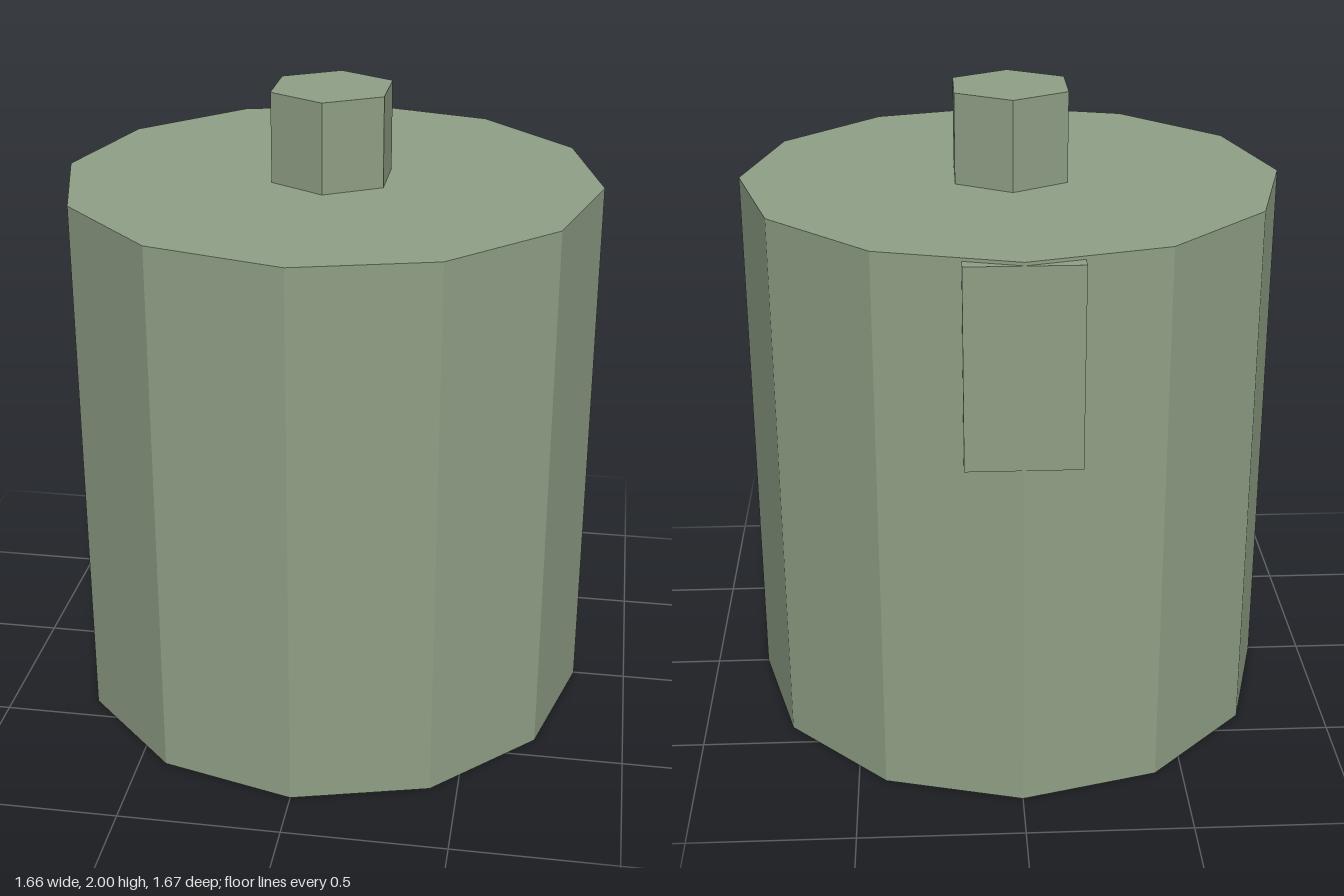
import * as THREE from 'three';

const BODY_RADIUS = 0.832, BODY_HEIGHT = 1.72;

export function createModel() {
  const model = new THREE.Group();
  model.name = 'canister';

  const sageGreen = new THREE.MeshStandardMaterial({ color: 0x8f9f85 });
  sageGreen.name = 'sageGreen';

  const add = (name, geometry, x, y, z) => {
    // Separate the faces so every facet shades flat
    const flat = geometry.toNonIndexed();
    flat.computeVertexNormals();
    const mesh = new THREE.Mesh(flat, sageGreen);
    mesh.name = name;
    mesh.position.set(x, y, z);
    model.add(mesh);
  };

  // Twelve-sided body
  add('body', new THREE.CylinderGeometry(BODY_RADIUS, BODY_RADIUS, BODY_HEIGHT, 12), 0, BODY_HEIGHT / 2, 0);

  // Hexagonal cap on top
  add('cap', new THREE.CylinderGeometry(0.198, 0.198, 0.28, 6), 0, BODY_HEIGHT + 0.14, 0);

  // Plate let into the rear corner, its outer face just clear of the edge
  add('backPlate', new THREE.BoxGeometry(0.336, 0.605, 0.06), 0, 1.4075, -0.8035);

  return model;
}
